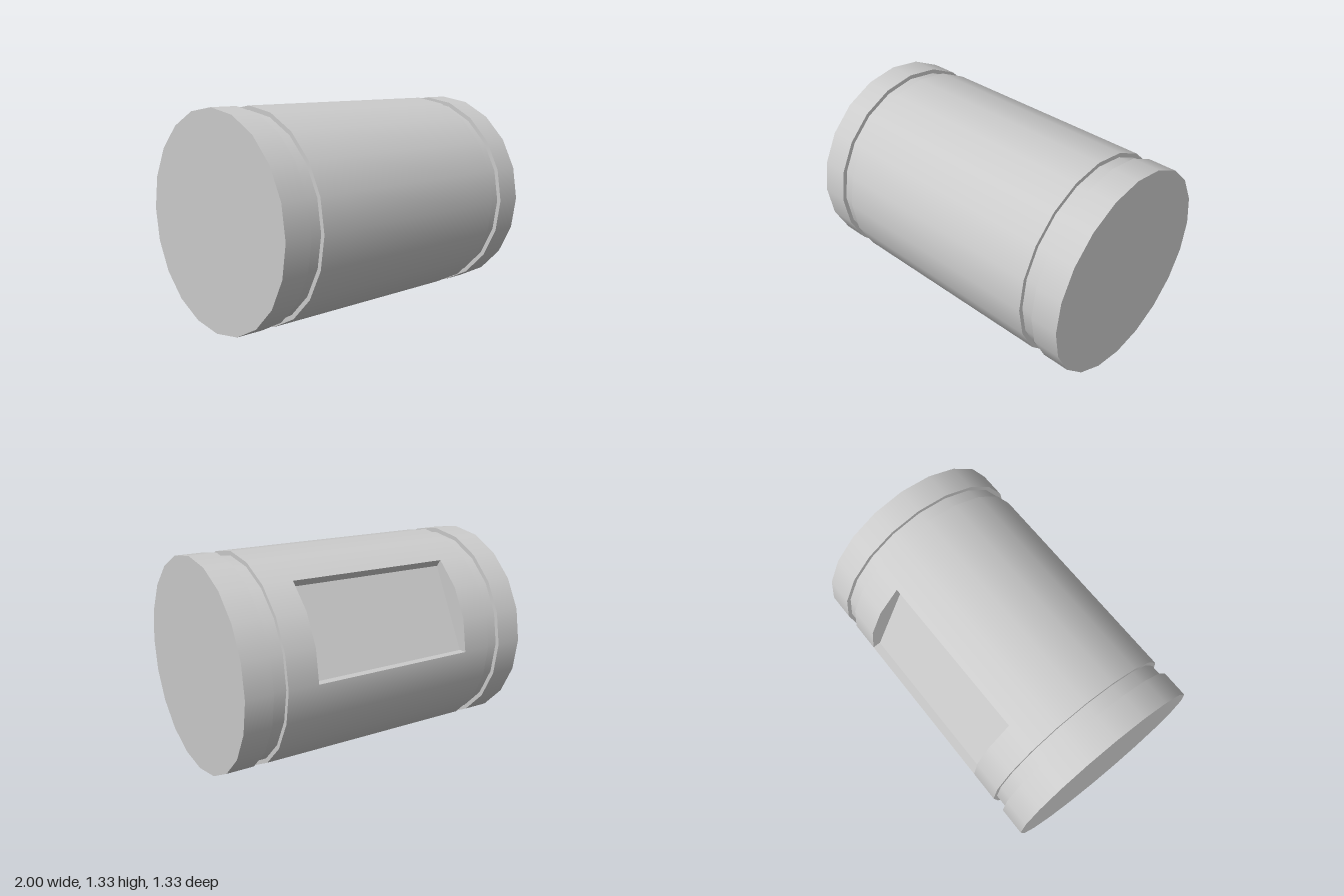
import * as THREE from 'three';

const SIDES = 20, R = 0.667, GROOVE_R = 0.64, POCKET_R = 0.615;
const POCKET_X = 0.54;             // half length of the pocket
const POCKET_ANGLE = Math.PI * 0.3; // three facets, from the rear up
const GROOVE_IN = 0.735, GROOVE_OUT = 0.825;

const material = new THREE.MeshStandardMaterial({ color: 0xcccccc });

export function createModel() {
  const model = new THREE.Group();
  model.name = 'slottedCylinder';
  const add = (name, geometry, parent = model) => {
    const mesh = new THREE.Mesh(geometry, material);
    mesh.name = name;
    parent.add(mesh);
  };

  // Open tube wall along x, optionally leaving out part of the circle
  const wall = (name, x0, x1, radius, start = 0, length = Math.PI * 2) => {
    const segments = Math.round(length / (Math.PI * 2) * SIDES);
    const g = new THREE.CylinderGeometry(radius, radius, x1 - x0, segments, 1, true, start, length);
    add(name, g.rotateZ(-Math.PI / 2).translate((x0 + x1) / 2, 0, 0));
  };

  // Flat face across the axis, facing +x or -x
  const face = (name, geometry, x, dir) =>
    add(name, geometry.rotateY(dir * Math.PI / 2).translate(x, 0, 0));

  // Body around the pocket
  wall('bodyShell', -POCKET_X, POCKET_X, R, Math.PI + POCKET_ANGLE, Math.PI * 2 - POCKET_ANGLE);

  // Mirrored shoulders, grooves, end bands and caps
  for (const s of [-1, 1]) {
    const band = (name, a, b, r) => wall(name, Math.min(s * a, s * b), Math.max(s * a, s * b), r);
    band('bodyShoulder', POCKET_X, GROOVE_IN, R);
    band('grooveFloor', GROOVE_IN, GROOVE_OUT, GROOVE_R);
    band('endBand', GROOVE_OUT, 1, R);
    face('grooveInnerStep', new THREE.RingGeometry(GROOVE_R, R, SIDES), s * GROOVE_IN, s);
    face('grooveOuterStep', new THREE.RingGeometry(GROOVE_R, R, SIDES), s * GROOVE_OUT, -s);
    face('endCap', new THREE.CircleGeometry(R, SIDES), s, s);
  }

  // Flat-floored pocket in the upper rear
  const pocket = new THREE.Group();
  pocket.name = 'pocket';
  model.add(pocket);
  const at = (r, a) => new THREE.Vector2(r * Math.cos(a), r * Math.sin(a)); // (rearward, up)

  // Strip running the pocket's length from point a to point b
  const strip = (name, a, b) => {
    const g = new THREE.BufferGeometry();
    g.setAttribute('position', new THREE.Float32BufferAttribute([
      -POCKET_X, a.y, -a.x, POCKET_X, a.y, -a.x,
      POCKET_X, b.y, -b.x, -POCKET_X, b.y, -b.x], 3));
    g.setIndex([0, 1, 2, 0, 2, 3]);
    g.computeVertexNormals();
    add(name, g, pocket);
  };
  const floorTop = at(POCKET_R, POCKET_ANGLE), floorBottom = at(POCKET_R, 0);
  strip('pocketTopWall', at(R, POCKET_ANGLE), floorTop);
  strip('pocketFloor', floorTop, floorBottom);
  strip('pocketBottomWall', floorBottom, at(R, 0));

  // Pocket end walls, each facing inward
  for (const dir of [-1, 1]) {
    const outline = [0, 1, 2, 3].map(i => at(R, POCKET_ANGLE * i / 3));
    outline.push(floorTop, floorBottom);
    const shape = new THREE.Shape(outline.map(p => new THREE.Vector2(dir * p.x, p.y)));
    const g = new THREE.ShapeGeometry(shape);
    add('pocketEndWall', g.rotateY(dir * Math.PI / 2).translate(-dir * POCKET_X, 0, 0), pocket);
  }

  model.position.y = R;
  const root = new THREE.Group();
  root.name = 'model';
  root.add(model);
  return root;
}
